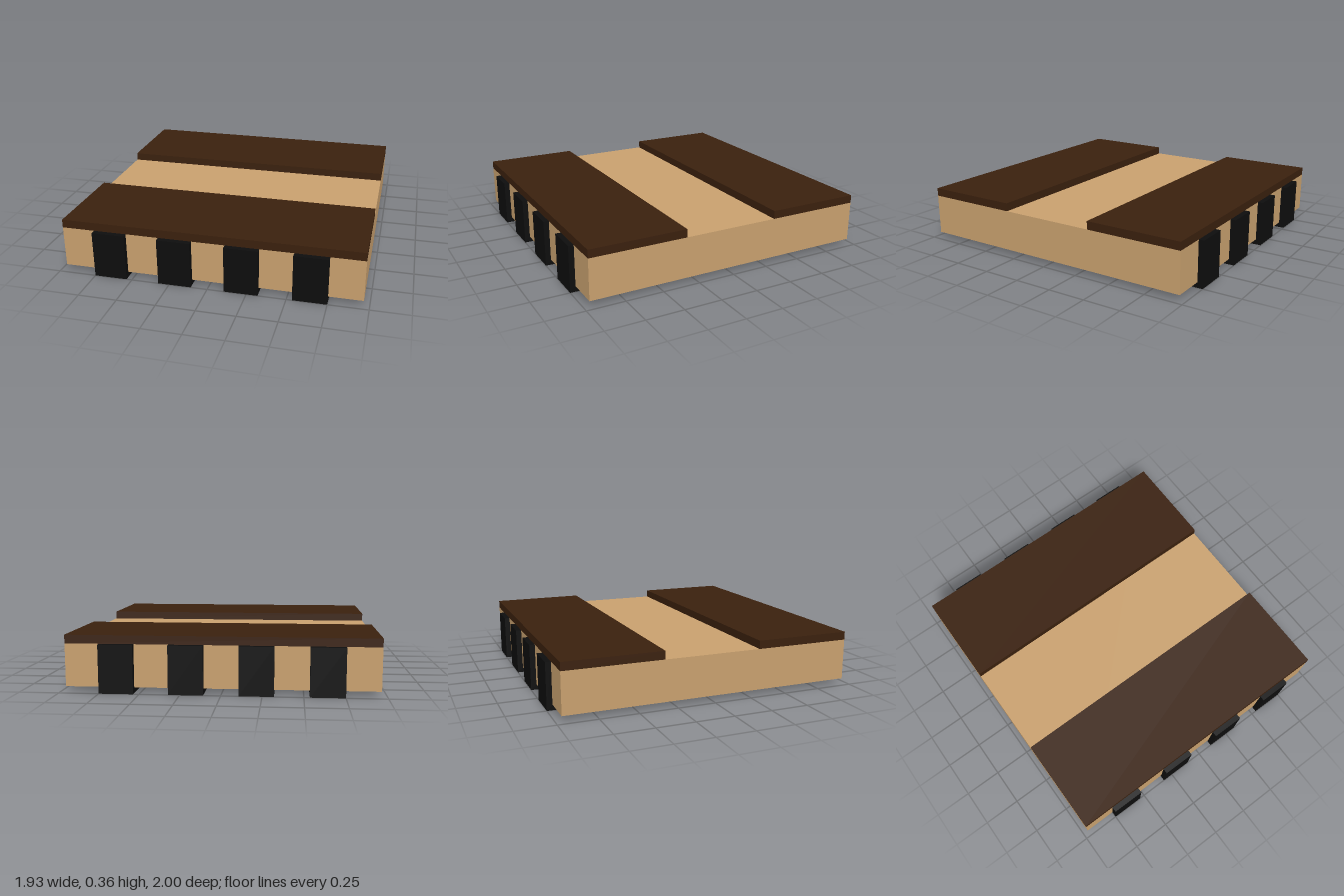
import * as THREE from 'three';

export function createModel() {
  const wood = new THREE.MeshStandardMaterial({ color: 0xc8a06e });
  wood.name = 'lightWood';
  const dark = new THREE.MeshStandardMaterial({ color: 0x3a200d });
  dark.name = 'darkWood';
  const black = new THREE.MeshStandardMaterial({ color: 0x0d0d0d });
  black.name = 'blackStrap';

  const u = 1 / 28; // strap thickness, the module for all sizes
  const half = 27 * u; // half width of the slab
  const slabTop = 8.5 * u;
  const model = new THREE.Group();
  model.name = 'strappedSlab';

  const add = (name, geometry, material, x, y, z) => {
    const mesh = new THREE.Mesh(geometry, material);
    mesh.name = name;
    mesh.position.set(x, y, z);
    model.add(mesh);
  };

  // Main slab
  add('slab', new THREE.BoxGeometry(2 * half, 7.5 * u, 2 * half), wood, 0, 4.75 * u, 0);

  // Raised planks along the front and back edges
  const plank = new THREE.BoxGeometry(2 * half, 1.5 * u, 18 * u);
  add('frontPlank', plank, dark, 0, slabTop + 0.75 * u, 18 * u);
  add('backPlank', plank, dark, 0, slabTop + 0.75 * u, -18 * u);

  // U-shaped straps wrapped under the slab and up its front and back
  const profile = new THREE.Shape([
    [-1, 0], [1, 0], [1, slabTop], [half, slabTop],
    [half, u], [-half, u], [-half, slabTop], [-1, slabTop],
  ].map(([z, y]) => new THREE.Vector2(z, y)));
  const strap = new THREE.ExtrudeGeometry(profile, { depth: 6 * u, bevelEnabled: false });
  strap.translate(0, 0, -3 * u).rotateY(Math.PI / 2);
  for (let i = 0; i < 4; i++) {
    add(`strap${i + 1}`, strap, black, (i - 1.5) * 12 * u, 0, 0);
  }

  return model;
}
